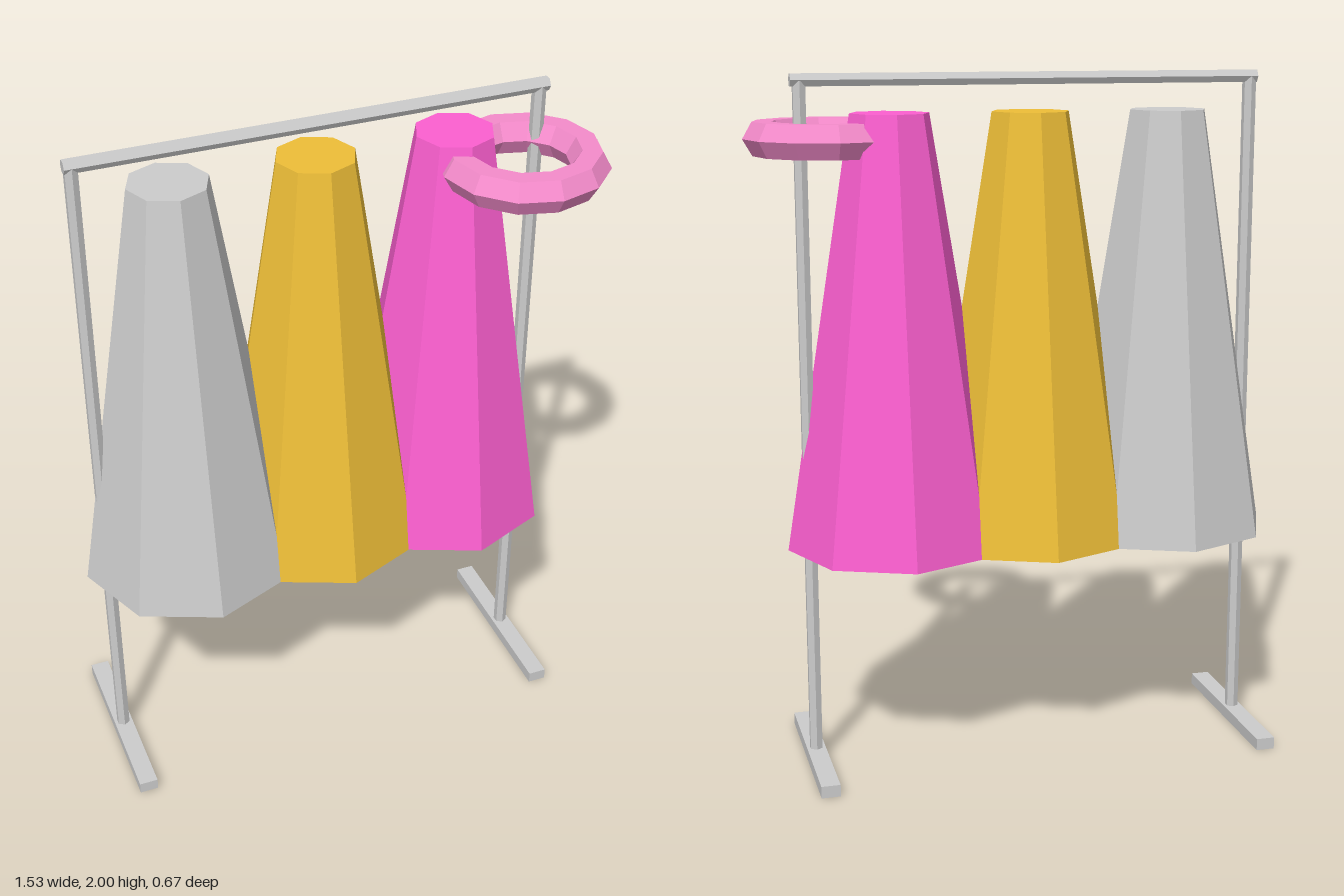
import * as THREE from 'three';

const paint = (color) => new THREE.MeshStandardMaterial({ color, flatShading: true });

export function createModel() {
  const group = new THREE.Group();
  const grey = paint(0xcccccc);
  const depth = -0.02; // z of the rack's middle plane

  const add = (name, geometry, material, x, y, z = depth) => {
    const mesh = new THREE.Mesh(geometry, material);
    mesh.name = name;
    mesh.position.set(x, y, z);
    group.add(mesh);
    return mesh;
  };

  // Rack: a foot and a hexagonal post at each end, joined by a rail
  for (const [side, x] of [['right', -0.7], ['left', 0.615]]) {
    add(side + 'Foot', new THREE.BoxGeometry(0.055, 0.035, 0.56), grey, x, 0.0175);
    add(side + 'Post', new THREE.CylinderGeometry(0.02, 0.02, 1.95, 6), grey, x, 1.005);
  }
  const rail = add('rail', new THREE.CylinderGeometry(0.02, 0.02, 1.36, 6), grey, -0.04, 1.982);
  rail.rotation.z = Math.PI / 2;

  // Hanging garments: tapered octagons that overlap at the hem
  const garments = [
    ['greyGarment', grey, -0.45],
    ['yellowGarment', paint(0xeebe38), -0.04],
    ['magentaGarment', paint(0xfc5fd0), 0.365],
  ];
  for (const [name, material, x] of garments) {
    add(name, new THREE.CylinderGeometry(0.113, 0.315, 1.24, 8), material, x, 1.27);
  }

  // Faceted pink ring, partly sunk into the last garment
  const ring = add('scarfRing', new THREE.TorusGeometry(0.183, 0.055, 6, 12), paint(0xf48bcb), 0.523, 1.817, 0.093);
  ring.rotation.x = Math.PI / 2;

  return group;
}
